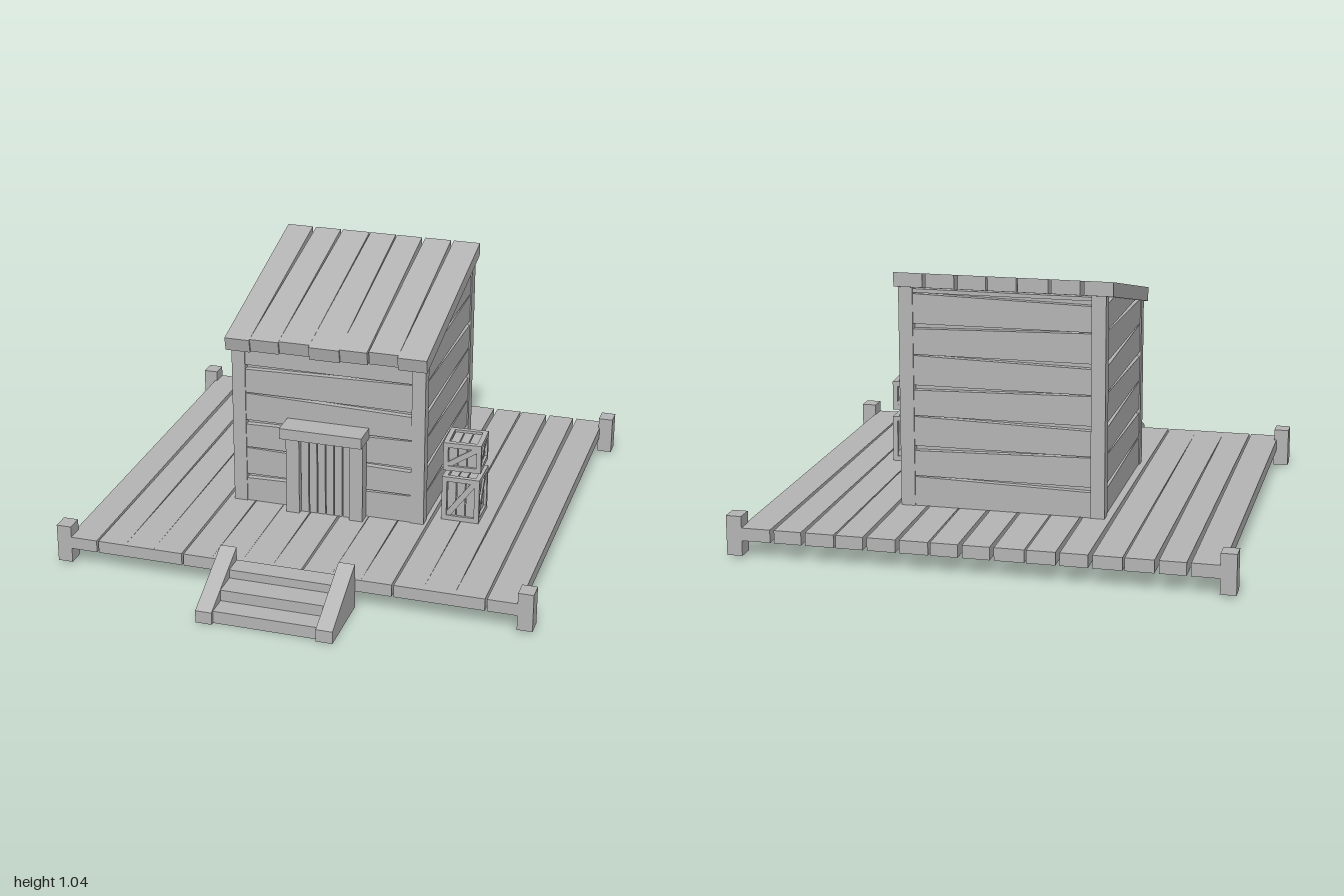
import * as THREE from 'three';

const wood = new THREE.MeshStandardMaterial({ color: 0xb4b4b4 });
wood.name = 'grey wood';

const FLOOR = 0.12;
const roofTop = z => 0.848 - 0.2235 * (z - 0.25);
const roofUnder = z => roofTop(z) - 0.055;

function add(parent, geometry, name) {
  const mesh = new THREE.Mesh(geometry, wood);
  mesh.name = name;
  parent.add(mesh);
  return mesh;
}

function group(parent, name) {
  const g = new THREE.Group();
  g.name = name;
  parent.add(g);
  return g;
}

// box given by its lower and upper limits
function box(parent, name, x0, x1, y0, y1, z0, z1) {
  const g = new THREE.BoxGeometry(x1 - x0, y1 - y0, z1 - z0);
  g.translate((x0 + x1) / 2, (y0 + y1) / 2, (z0 + z1) / 2);
  return add(parent, g, name);
}

function extrude(points, depth) {
  const shape = new THREE.Shape(points.map(p => new THREE.Vector2(p[0], p[1])));
  return new THREE.ExtrudeGeometry(shape, { depth, bevelEnabled: false });
}

// outline in (z, y), running from x0 to x1
const sidePrism = (points, x0, x1) =>
  extrude(points, x1 - x0).rotateY(-Math.PI / 2).translate(x1, 0, 0);

// outline in (x, z), hanging down from height y
const flatPrism = (points, depth, y) =>
  extrude(points, depth).rotateX(Math.PI / 2).translate(0, y, 0);

// keep the part of an outline in (u, y) that lies under a straight limit
function clipUnder(points, limit) {
  const out = [];
  points.forEach((a, i) => {
    const b = points[(i + 1) % points.length];
    const da = limit(a[0]) - a[1], db = limit(b[0]) - b[1];
    if (da >= 0) out.push(a);
    if (da * db < 0) {
      const t = da / (da - db);
      out.push([a[0] + (b[0] - a[0]) * t, a[1] + (b[1] - a[1]) * t]);
    }
  });
  return out;
}

// outlines of stacked boards whose gaps taper to one end
function wallBoards(u0, u1, limit) {
  const boards = [];
  for (let i = 0; i < 8; i++) {
    const y = FLOOR + i * 0.12, a = i % 2 ? 0.004 : 0.02, b = i % 2 ? 0.02 : 0.004;
    const p = clipUnder([[u0, y], [u1, y], [u1, y + 0.12 - b], [u0, y + 0.12 - a]], limit);
    if (p.length > 2) boards.push(p);
  }
  return boards;
}

function buildDeck(root) {
  const deck = group(root, 'deck');
  const edges = [-0.91, -0.788, -0.672, -0.552, -0.43, -0.31, -0.19, -0.065,
    0.055, 0.172, 0.293, 0.418, 0.535, 0.658, 0.78, 0.905];
  const openGaps = [1, 4, 8, 11, 14];
  const gap = i => (i === 0 || i === 15 ? [0, 0]
    : [0.004 + 0.004 * (i % 3 ? 1 : 0), openGaps.includes(i) ? 0.004 : 0]);
  for (let i = 0; i < 15; i++) {
    const l = gap(i), r = gap(i + 1), x0 = edges[i], x1 = edges[i + 1];
    add(deck, flatPrism([[x0 + l[0], -1], [x1 - r[0], -1], [x1 - r[1], 0.715], [x0 + l[1], 0.715]],
      0.05, FLOOR), 'deckPlank');
  }
  for (const s of [-1, 1]) for (const z of [-1, 0.645])
    box(deck, 'deckPost', s * 0.93 - 0.03, s * 0.93 + 0.03, 0.01, 0.165, z, z + 0.07);
}

function buildCabin(root) {
  const cabin = group(root, 'cabin');
  // inner core seen in the grooves
  const core = [[-0.56, FLOOR], [0.17, FLOOR], [0.17, roofUnder(0.17)], [-0.56, roofUnder(-0.56)]];
  add(cabin, sidePrism(core, -0.37, 0.37), 'cabinCore');
  // side boards
  for (const x of [-0.395, 0.37])
    for (const p of wallBoards(-0.535, 0.15, roofUnder))
      add(cabin, sidePrism(p, x, x + 0.025), 'sideBoard');
  // front and back boards
  for (const p of wallBoards(-0.345, 0.345, () => 0.8))
    add(cabin, extrude(p, 0.025).translate(0, 0, 0.17), 'frontBoard');
  for (const p of wallBoards(-0.345, 0.345, () => 0.975))
    add(cabin, extrude(p, 0.025).translate(0, 0, -0.585), 'backBoard');
  // corner posts cut to the roof slope
  for (const x of [-0.4, 0.345]) for (const [z0, z1] of [[0.15, 0.2], [-0.59, -0.535]])
    add(cabin, sidePrism([[z0, FLOOR], [z1, FLOOR], [z1, roofUnder(z1)], [z0, roofUnder(z0)]],
      x, x + 0.055), 'cornerPost');
}

function buildRoof(root) {
  const roof = group(root, 'roof');
  // left and right edge of each plank at the back, then at the front
  const planks = [
    [-0.43, -0.32, -0.41, -0.308], [-0.305, -0.195, -0.308, -0.19],
    [-0.185, -0.068, -0.19, -0.063], [-0.063, 0.047, -0.063, 0.062],
    [0.053, 0.162, 0.062, 0.173], [0.176, 0.288, 0.178, 0.298], [0.3, 0.412, 0.298, 0.415]];
  planks.forEach(([a, b, c, d], i) => {
    const front = 0.25 - (i % 3) * 0.008;
    const g = flatPrism([[a, -0.61], [b, -0.61], [d, front], [c, front]], 0.055, 0);
    const p = g.attributes.position;
    for (let k = 0; k < p.count; k++) {
      const low = p.getY(k) < -0.01, z = p.getZ(k);
      p.setY(k, p.getY(k) + roofTop(z));
      if (low && z > 0) p.setZ(k, z - 0.012);
    }
    g.computeVertexNormals();
    add(roof, g, 'roofPlank');
  });
}

function buildDoor(root) {
  const door = group(root, 'door');
  for (const x of [-0.16, 0.105]) box(door, 'doorJamb', x, x + 0.055, FLOOR, 0.465, 0.19, 0.25);
  box(door, 'lintel', -0.17, 0.17, 0.465, 0.51, 0.19, 0.302);
  box(door, 'doorBacking', -0.105, 0.105, FLOOR, 0.465, 0.19, 0.21);
  for (let i = 0; i < 6; i++) {
    const x = -0.105 + i * 0.035;
    box(door, 'doorSlat', x + 0.002, x + 0.033, FLOOR, 0.465, 0.2, 0.228);
  }
}

function buildStairs(root) {
  const stairs = group(root, 'stairs');
  const profile = [[0.715, 0], [1, 0], [1, 0.05], [0.715, 0.185]];
  for (const x of [-0.27, 0.205]) add(stairs, sidePrism(profile, x, x + 0.065), 'stringer');
  [[0.9, 0.985, 0, 0.05], [0.8, 0.9, 0.045, 0.095], [0.715, 0.8, 0.09, 0.13]].forEach(
    ([z0, z1, y0, y1]) => box(stairs, 'step', -0.205, 0.205, y0, y1, z0, z1));
}

// one framed crate face, w by h, facing +z
function crateFace(parent, w, h, brace) {
  const face = group(parent, 'crateFace'), f = 0.02, iw = w - 2 * f, ih = h - 2 * f;
  for (const s of [-1, 1]) {
    box(face, 'frameUpright', s * (w - f) / 2 - f / 2, s * (w - f) / 2 + f / 2, -h / 2, h / 2, -0.014, 0);
    box(face, 'frameRail', -iw / 2, iw / 2, s * (h - f) / 2 - f / 2, s * (h - f) / 2 + f / 2, -0.014, 0);
  }
  for (let i = 0; i < 3; i++) {
    const x = -iw / 2 + i * iw / 3;
    box(face, 'crateSlat', x + 0.002, x + iw / 3 - 0.002, -ih / 2, ih / 2, -0.02, -0.01);
  }
  if (brace) {
    const t = 0.016, a = iw / 2, b = ih / 2;
    add(face, extrude([[-a, -b], [-a + t, -b], [a, b - t], [a, b], [a - t, b], [-a, -b + t]], 0.008)
      .translate(0, 0, -0.012), 'crateBrace');
  }
  return face;
}

function buildCrate(root, name, y0, y1, turn) {
  const crate = group(root, name), w = 0.153, h = y1 - y0;
  crate.position.set(0.532, (y0 + y1) / 2, 0.053);
  crate.rotation.y = turn;
  add(crate, new THREE.BoxGeometry(w - 0.036, h - 0.036, w - 0.036), 'crateCore');
  for (let i = 0; i < 4; i++) {
    const face = crateFace(crate, w, h, true);
    face.rotation.y = i * Math.PI / 2;
    face.position.set(Math.sin(i * Math.PI / 2) * w / 2, 0, Math.cos(i * Math.PI / 2) * w / 2);
  }
  for (const s of [-1, 1]) {
    const face = crateFace(crate, w, w, false);
    face.rotation.x = -s * Math.PI / 2;
    face.position.y = s * h / 2;
  }
}

export function createModel() {
  const root = new THREE.Group();
  root.name = 'cabinOnDeck';
  buildDeck(root);
  buildCabin(root);
  buildRoof(root);
  buildDoor(root);
  buildStairs(root);
  buildCrate(root, 'lowerCrate', FLOOR, 0.31, 0);
  buildCrate(root, 'upperCrate', 0.34, 0.46, 0.04);
  return root;
}
